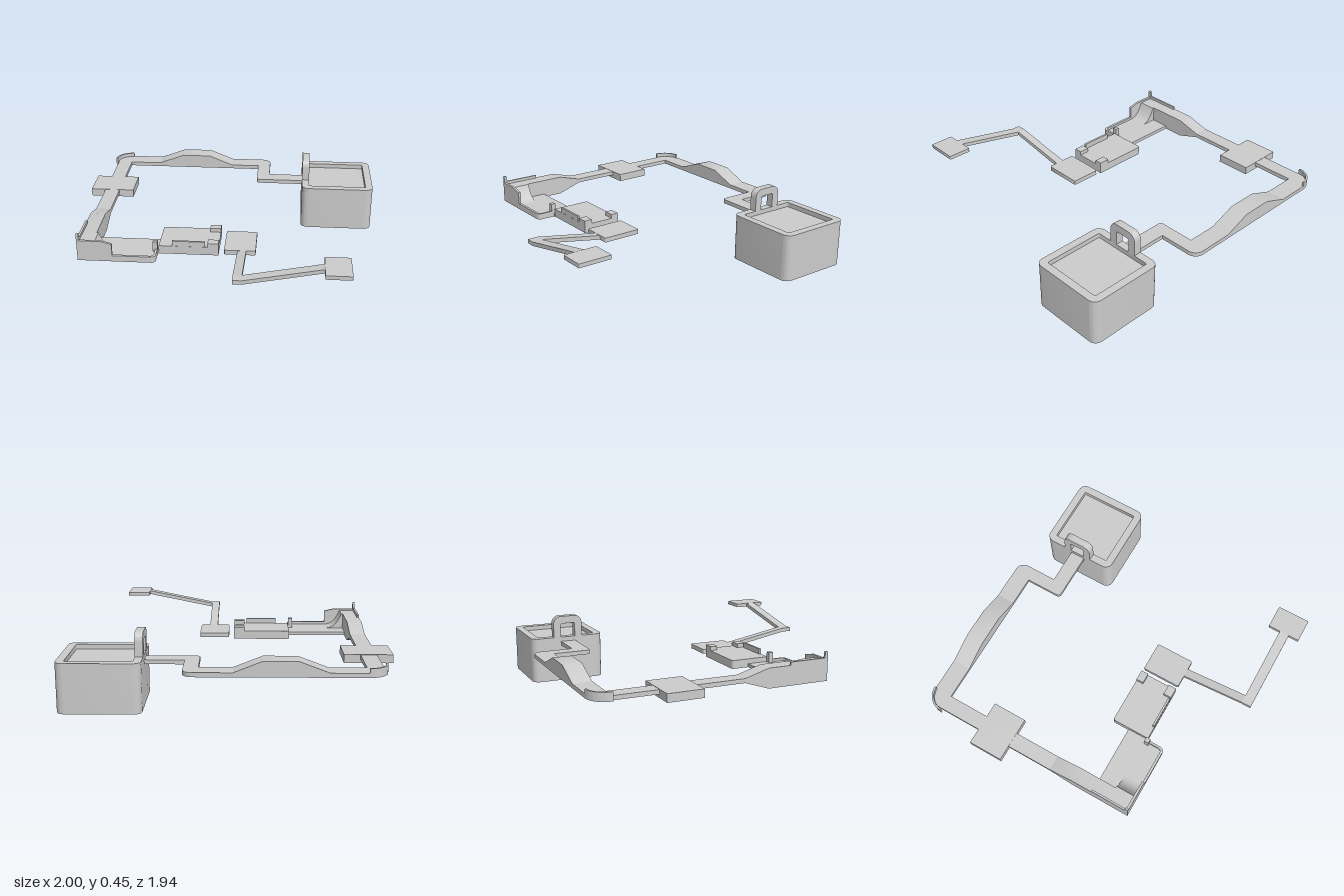
import * as THREE from 'three';
import { toCreasedNormals } from 'three/addons/utils/BufferGeometryUtils.js';

const material = new THREE.MeshStandardMaterial({ color: 0xcccccc });

// Polygon of [a, b, cornerRadius] points with optional rounded corners
function polygon(points, Type = THREE.Shape) {
  const s = new Type();
  points.forEach(([x, y, r = 0], i) => {
    const n = points.length;
    const toward = ([px, py]) => {
      const d = Math.hypot(px - x, py - y);
      return [x + ((px - x) * r) / d, y + ((py - y) * r) / d];
    };
    const a = toward(points[(i + n - 1) % n]);
    const b = toward(points[(i + 1) % n]);
    if (i === 0) s.moveTo(...a);
    else s.lineTo(...a);
    if (r) {
      const k = 0.55; // circular-looking corner
      s.bezierCurveTo(a[0] + (x - a[0]) * k, a[1] + (y - a[1]) * k,
        b[0] + (x - b[0]) * k, b[1] + (y - b[1]) * k, b[0], b[1]);
    }
  });
  s.closePath();
  return s;
}

const rect = (x0, x1, y0, y1, r = 0) => [[x0, y0, r], [x1, y0, r], [x1, y1, r], [x0, y1, r]];

function extrude(shape, depth) {
  return new THREE.ExtrudeGeometry(shape, { depth, bevelEnabled: false, curveSegments: 8 });
}

export function createModel() {
  const model = new THREE.Group();
  const add = (name, geometry) => {
    const mesh = new THREE.Mesh(toCreasedNormals(geometry, 0.5), material);
    mesh.name = name;
    model.add(mesh);
  };
  // Plan outline (x, z) between two heights
  const plan = (name, shape, y0, y1) =>
    add(name, extrude(shape, y1 - y0).rotateX(Math.PI / 2).translate(0, y1, 0));
  // Front outline (x, y) between two depths
  const front = (name, shape, z0, z1) =>
    add(name, extrude(shape, z1 - z0).translate(0, 0, z0));
  // Side outline (z, y) between two x positions
  const side = (name, shape, x0, x1) =>
    add(name, extrude(shape, x1 - x0).rotateY(-Math.PI / 2).translate(x1, 0, 0));
  const box = (name, x0, x1, y0, y1, z0, z1) =>
    plan(name, polygon(rect(x0, x1, z0, z1)), y0, y1);

  // Large block with a shallow recessed top
  const outer = rect(0.5, 1, -0.9, -0.4, 0.05);
  const rim = polygon(outer);
  rim.holes.push(polygon(rect(0.55, 0.95, -0.85, -0.45, 0.008), THREE.Path));
  plan('goalBlock', polygon(outer), 0, 0.275);
  plan('goalBlockRim', rim, 0.275, 0.305);

  // Arch standing on the edge of the block
  side('entryArch', polygon([
    [-0.55, 0.3], [-0.55, 0.45, 0.05], [-0.75, 0.45, 0.05], [-0.75, 0.3],
    [-0.7, 0.3], [-0.7, 0.4, 0.01], [-0.6, 0.4, 0.01], [-0.6, 0.3],
  ]), 0.5, 0.55);

  // Thin track winding from the block round the back to the left edge
  plan('backTrack', polygon([
    [0.51, -0.7], [0.26, -0.7], [0.26, -0.97, 0.06], [-0.9, -0.97, 0.1], [-0.9, -0.03],
    [-0.8, -0.03], [-0.8, -0.85], [0.17, -0.85], [0.17, -0.6, 0.025], [0.51, -0.6],
  ]), 0.248, 0.275);

  // Hump on the back straight
  front('trackHump', polygon([
    [-0.58, 0.26], [-0.03, 0.26], [-0.03, 0.275], [-0.2, 0.343], [-0.4, 0.343], [-0.58, 0.275],
  ]), -0.97, -0.85);

  // Curved guard wall round the back corner
  const guard = new THREE.Shape();
  guard.absarc(-0.8, -0.85, 0.12, Math.PI, Math.PI * 1.5, false);
  guard.absarc(-0.8, -0.85, 0.108, Math.PI * 1.5, Math.PI, true);
  guard.closePath();
  plan('cornerGuard', guard, 0.248, 0.302);

  // Square landing on the side track
  box('sidePad', -1, -0.7, 0.225, 0.277, -0.57, -0.34);

  // Side track flaring into a thick raised corner
  side('raisedCorner', polygon([
    [-0.03, 0.248], [0.13, 0.195], [0.54, 0.195], [0.54, 0.32], [0.13, 0.32], [-0.03, 0.275],
  ]), -0.9, -0.8);
  box('cornerSideWall', -0.9, -0.887, 0.3, 0.34, 0.28, 0.54);
  side('cornerPost', polygon([
    [0.52, 0.3], [0.54, 0.3], [0.54, 0.38, 0.008], [0.52, 0.38, 0.008],
  ]), -0.9, -0.885);

  // Lower floor, curved ramp and front lip
  plan('lowerFloor', polygon([
    [-0.82, 0.27], [-0.4, 0.27], [-0.4, 0.42], [-0.41, 0.42], [-0.41, 0.54, 0.03], [-0.82, 0.54],
  ]), 0.195, 0.218);
  const ramp = new THREE.Shape();
  ramp.moveTo(-0.81, 0.2);
  ramp.lineTo(-0.69, 0.2);
  ramp.lineTo(-0.69, 0.218);
  ramp.bezierCurveTo(-0.74, 0.22, -0.77, 0.27, -0.79, 0.32);
  ramp.lineTo(-0.81, 0.32);
  ramp.closePath();
  front('curvedRamp', ramp, 0.4, 0.525);
  front('frontLip', polygon([
    [-0.9, 0.195], [-0.68, 0.195], [-0.68, 0.315], [-0.75, 0.332], [-0.9, 0.332],
  ]), 0.523, 0.54);
  plan('lowLip', polygon([
    [-0.69, 0.54], [-0.69, 0.523], [-0.425, 0.523, 0.02], [-0.425, 0.42],
    [-0.41, 0.42], [-0.41, 0.54, 0.03],
  ]), 0.195, 0.235);
  box('lipPost', -0.44, -0.41, 0.2, 0.285, 0.405, 0.435);

  // Front platform with corner stops and a plain raised strip
  plan('frontPlatform', polygon([
    [-0.405, 0.155, 0.015], [-0.025, 0.155], [-0.025, 0.415], [-0.405, 0.415],
  ]), 0.195, 0.25);
  for (const [z0, z1] of [[0.155, 0.205], [0.36, 0.415]])
    box('platformStop', -0.095, -0.025, 0.245, 0.277, z0, z1);
  box('platformStrip', -0.32, -0.11, 0.245, 0.285, 0.4, 0.414);

  // Start pad, rising arms and end pad
  plan('smallPad', polygon(rect(0.01, 0.21, 0.155, 0.415, 0.012)), 0.205, 0.235);
  side('risingArm', polygon([
    [0.41, 0.205], [0.835, 0.282], [0.835, 0.308], [0.41, 0.233],
  ]), 0.095, 0.15);
  front('crossArm', polygon([
    [0.095, 0.282], [0.15, 0.282], [0.63, 0.38], [0.63, 0.405], [0.15, 0.308], [0.095, 0.308],
  ]), 0.835, 0.9);
  plan('endPad', polygon(rect(0.625, 0.78, 0.755, 0.97, 0.006)), 0.38, 0.405);

  return model;
}
